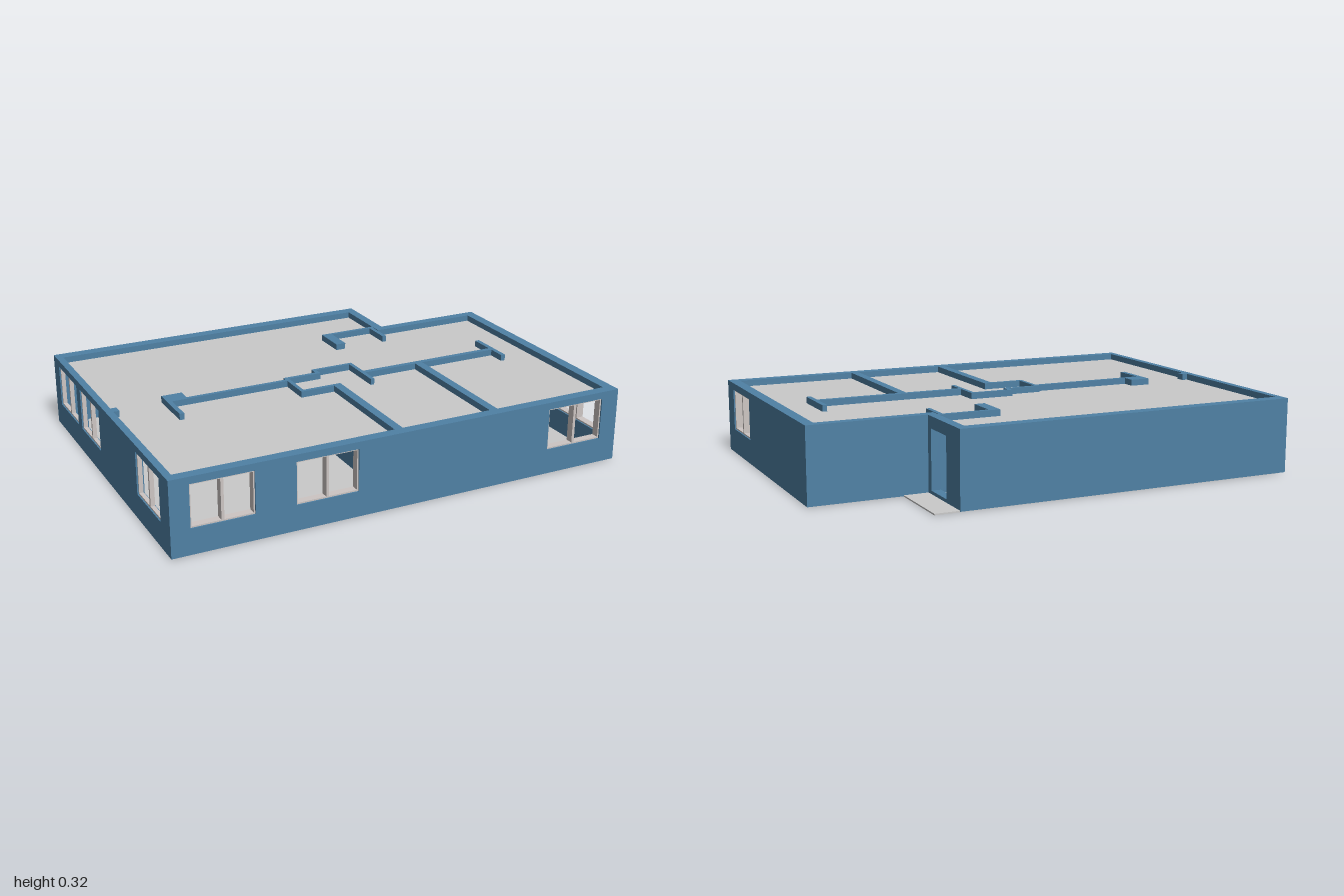
import * as THREE from 'three';

const H = 0.32;        // wall height
const BASE = 0.002;    // walls rest just inside the floor slab
const SILL = 0.11, HEAD = 0.29;

export function createModel() {
  const model = new THREE.Group();
  model.name = 'floorPlanHouse';
  const mat = (name, color) => {
    const m = new THREE.MeshStandardMaterial({ color });
    m.name = name;
    return m;
  };
  const blue = mat('wallBlue', 0x4f81a5);
  const grey = mat('slabGrey', 0xcacaca);
  const pale = mat('frameGrey', 0xcdc6c3);

  const add = (name, geo, material, parent = model) => {
    const mesh = new THREE.Mesh(geo, material);
    mesh.name = name;
    parent.add(mesh);
    return mesh;
  };

  // Box given by its limits in x, y and z
  const block = (name, x0, x1, y0, y1, z0, z1, material, parent) => {
    const mesh = add(name, new THREE.BoxGeometry(x1 - x0, y1 - y0, z1 - z0), material, parent);
    mesh.position.set((x0 + x1) / 2, (y0 + y1) / 2, (z0 + z1) / 2);
  };

  const rectPath = (path, u0, u1, y0, y1) => {
    path.moveTo(u0, y0).lineTo(u1, y0).lineTo(u1, y1).lineTo(u0, y1).closePath();
    return path;
  };

  // Outer wall from u0 to u1 along 'x' or 'z', between d0 and d1 across, with openings
  const outerWall = (name, axis, u0, u1, d0, d1, openings = []) => {
    const shape = rectPath(new THREE.Shape(), u0, u1, BASE, H);
    for (const [a, b, y0, y1] of openings) {
      shape.holes.push(rectPath(new THREE.Path(), a, b, y0, y1));
    }
    const geo = new THREE.ExtrudeGeometry(shape, { depth: d1 - d0, bevelEnabled: false });
    if (axis === 'z') geo.rotateY(-Math.PI / 2).translate(d1, 0, 0);
    else geo.translate(0, 0, d0);
    add(name, geo, blue);
  };

  // Window frame: four thin bars and a centre post, set in the wall's depth
  const windowFrame = (axis, u0, u1, d0, d1) => {
    const frame = new THREE.Group();
    frame.name = 'windowFrame';
    model.add(frame);
    const t = 0.006, mid = (u0 + u1) / 2, in0 = d0 + 0.006, in1 = d1 - 0.006;
    const bar = (name, a, b, y0, y1) => axis === 'x'
      ? block(name, a, b, y0, y1, in0, in1, pale, frame)
      : block(name, in0, in1, y0, y1, a, b, pale, frame);
    bar('frameSill', u0, u1, SILL, SILL + t);
    bar('frameHead', u0, u1, HEAD - t, HEAD);
    bar('frameSide', u0, u0 + t, SILL + t, HEAD - t);
    bar('frameSide', u1 - t, u1, SILL + t, HEAD - t);
    bar('centrePost', mid - t, mid + t, SILL + t, HEAD - t);
  };

  const windowWall = (name, axis, u0, u1, d0, d1, spans) => {
    outerWall(name, axis, u0, u1, d0, d1, spans.map(([a, b]) => [a, b, SILL, HEAD]));
    for (const [a, b] of spans) windowFrame(axis, a, b, d0, d1);
  };

  // Outer walls
  windowWall('frontWall', 'x', -1, 1, 0.685, 0.73, [[-0.92, -0.66], [-0.49, -0.225], [0.655, 0.92]]);
  windowWall('rightSideWall', 'z', -0.73, 0.685, -1, -0.97, [[-0.655, -0.395], [-0.345, -0.085], [0.37, 0.63]]);
  windowWall('leftSideWall', 'z', -0.38, 0.685, 0.955, 1, [[0.38, 0.64]]);
  outerWall('backWall', 'x', -0.97, 0.5, -0.73, -0.68);
  outerWall('entranceWall', 'z', -0.68, -0.38, 0.46, 0.5, [[-0.6, -0.45, 0.02, 0.27]]);
  outerWall('backReturnWall', 'x', 0.5, 1, -0.42, -0.38);

  // Inner walls: x0, x1, z0, z1
  const innerWalls = [
    [-0.97, -0.945, -0.015, 0.025],
    [-0.74, -0.65, -0.05, 0.01],
    [-0.74, -0.72, 0.01, 0.165],
    [-0.72, -0.2, 0.008, 0.025],
    [-0.2, -0.183, 0.005, 0.148],
    [-0.2, -0.033, -0.012, 0.005],
    [-0.05, -0.033, -0.035, -0.012],
    [-0.05, 0.145, -0.05, -0.035],
    [0.128, 0.145, -0.035, 0.165],
    [-0.2, -0.01, 0.148, 0.165],
    [-0.047, -0.01, 0.165, 0.685],
    [0.145, 0.79, 0.062, 0.085],
    [0.79, 0.81, 0.05 - 0.1, 0.165],
    [0.392, 0.428, 0.085, 0.685],
    [0.195, 0.46, -0.44, -0.423],
    [0.195, 0.24, -0.423, -0.29],
    [0.438, 0.456, -0.423, -0.295],
  ];
  for (const [x0, x1, z0, z1] of innerWalls) {
    block('innerWall', x0, x1, BASE, H, z0, z1, blue);
  }

  // Flat slab from an outline in x and z
  const slab = (name, outline, top, thickness) => {
    const shape = new THREE.Shape(outline.map(([x, z]) => new THREE.Vector2(x, z)));
    const geo = new THREE.ExtrudeGeometry(shape, { depth: thickness, bevelEnabled: false });
    geo.rotateX(Math.PI / 2).translate(0, top, 0);
    add(name, geo, grey);
  };

  // Floor, reaching out as a doorstep beside the entrance
  slab('floor', [[-0.975, -0.728], [0.605, -0.728], [0.605, -0.415], [0.975, -0.415],
    [0.975, 0.705], [-0.975, 0.705]], 0.006, 0.006);
  // Ceiling, just below the wall tops
  slab('ceiling', [[-0.972, -0.682], [0.462, -0.682], [0.462, -0.382], [0.957, -0.382],
    [0.957, 0.687], [-0.972, 0.687]], 0.293, 0.006);

  return model;
}
